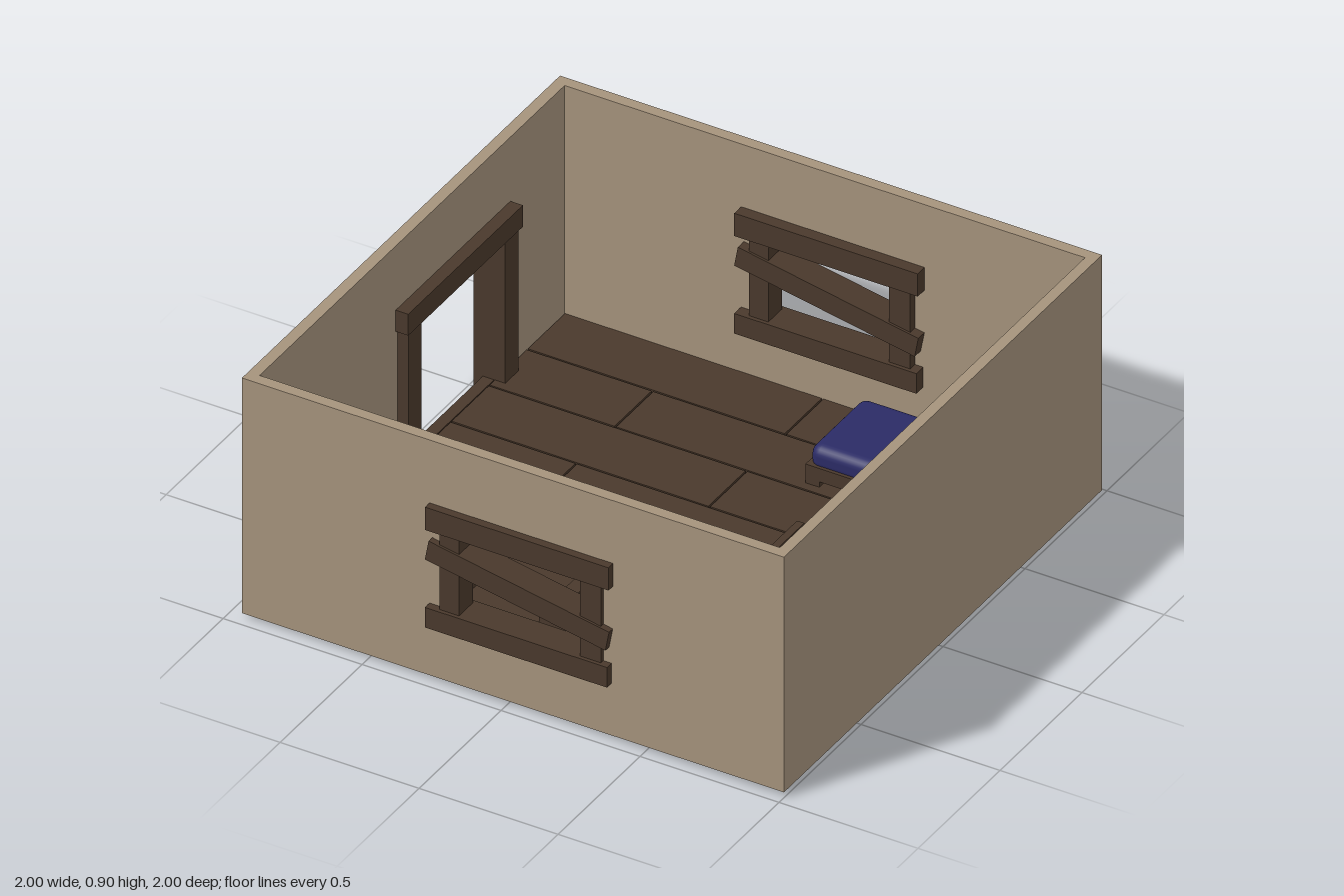
import * as THREE from 'three';
import { RoundedBoxGeometry } from 'three/addons/geometries/RoundedBoxGeometry.js';

const mat = (name, color) => {
  const m = new THREE.MeshStandardMaterial({ color });
  m.name = name;
  return m;
};

export function createModel() {
  const plaster = mat('plaster', 0xa5937c);
  const wood = mat('dark wood', 0x4a392c);
  const stone = mat('pale stone', 0xb4b4b4);
  const blue = mat('blue cloth', 0x2b2b66);
  const linen = mat('linen', 0xa8967d);

  const model = new THREE.Group();
  const group = (name, parent = model) => {
    const g = new THREE.Group();
    g.name = name;
    parent.add(g);
    return g;
  };
  const add = (parent, name, geo, material) => {
    const m = new THREE.Mesh(geo, material);
    m.name = name;
    parent.add(m);
    return m;
  };
  // Box given by its extents on each axis
  const box = (parent, name, x0, x1, y0, y1, z0, z1, material = wood) => {
    const m = add(parent, name, new THREE.BoxGeometry(x1 - x0, y1 - y0, z1 - z0), material);
    m.position.set((x0 + x1) / 2, (y0 + y1) / 2, (z0 + z1) / 2);
    return m;
  };
  const rect = (Type, x0, x1, y0, y1) => new Type([
    new THREE.Vector2(x0, y0), new THREE.Vector2(x1, y0),
    new THREE.Vector2(x1, y1), new THREE.Vector2(x0, y1)]);
  // Rectangular slab with one rectangular hole
  const pierced = (outer, hole, depth) => {
    const s = rect(THREE.Shape, ...outer);
    s.holes.push(rect(THREE.Path, ...hole));
    return new THREE.ExtrudeGeometry(s, { depth, bevelEnabled: false });
  };

  // Walls
  const walls = group('walls');
  const opening = [-0.2, 0.31, 0.26, 0.61];
  add(walls, 'frontWall', pierced([-0.95, 1, 0.02, 0.9], opening, 0.04), plaster).position.z = 0.93;
  add(walls, 'backWall', pierced([-0.95, 1, 0.02, 0.9], opening, 0.04), plaster).position.z = -0.97;
  box(walls, 'leftWall', 0.962, 1, 0.02, 0.9, -0.93, 0.93, plaster);
  box(walls, 'doorWallFront', -0.95, -0.91, 0.02, 0.9, 0.05, 0.93, plaster);
  box(walls, 'doorWallBack', -0.95, -0.91, 0.02, 0.9, -0.93, -0.54, plaster);
  box(walls, 'doorWallTop', -0.95, -0.91, 0.62, 0.9, -0.54, 0.05, plaster);

  // Floor: staggered planks over a thin underlay
  const floor = group('floor');
  box(floor, 'underlay', -0.945, 0.962, 0.025, 0.035, -0.93, 0.93);
  const rowDepth = 1.86 / 8;
  for (let r = 0; r < 8; r++) {
    const z = -0.93 + r * rowDepth;
    const cuts = r % 2 ? [-0.91, -0.455, 0.49, 0.962] : [-0.91, 0.02, 0.962];
    for (let i = 0; i < cuts.length - 1; i++)
      box(floor, 'plank', cuts[i] + 0.003, cuts[i + 1] - 0.003, 0.02, 0.05, z + 0.003, z + rowDepth - 0.003);
  }
  box(floor, 'threshold', -0.95, -0.91, 0.02, 0.05, -0.5, 0.01);

  // Window frames with a slanted board across
  for (const s of [1, -1]) {
    const w = group(s > 0 ? 'frontWindow' : 'backWindow');
    w.position.z = s * 0.943;
    box(w, 'topBoard', -0.275, 0.385, 0.58, 0.665, -0.055, 0.055);
    box(w, 'bottomBoard', -0.275, 0.38, 0.215, 0.29, -0.055, 0.055);
    box(w, 'post', -0.23, -0.16, 0.29, 0.58, -0.042, 0.042);
    box(w, 'post', 0.275, 0.35, 0.29, 0.58, -0.042, 0.042);
    const slat = box(w, 'slantedBoard', -0.33, 0.33, -0.037, 0.037, -0.05, 0.05);
    slat.position.set(0.053, 0.443, 0);
    slat.rotation.z = -0.18;
  }

  // Door frame
  const door = group('doorFrame');
  box(door, 'header', -1, -0.865, 0.58, 0.66, -0.6, 0.1);
  for (const z of [0.01, -0.58]) box(door, 'post', -0.985, -0.87, 0, 0.58, z, z + 0.08);

  // Bed
  const bed = group('bed');
  box(bed, 'frame', 0.21, 0.9, 0.07, 0.12, -0.85, -0.5);
  box(bed, 'headboard', 0.885, 0.91, 0.05, 0.26, -0.85, -0.5);
  for (const x of [0.21, 0.84]) for (const z of [-0.85, -0.55])
    box(bed, 'leg', x, x + 0.05, 0.05, 0.08, z, z + 0.05);
  const blanket = add(bed, 'blanket', new RoundedBoxGeometry(0.67, 0.09, 0.33, 3, 0.035), blue);
  blanket.position.set(0.55, 0.14, -0.675);
  const pillow = add(bed, 'pillow', new RoundedBoxGeometry(0.14, 0.06, 0.26, 3, 0.028), linen);
  pillow.position.set(0.8, 0.2, -0.68);

  // Slatted furniture: top boards, apron and four legs
  const slatted = (name, x0, x1, z0, z1, top, count, leg) => {
    const g = group(name);
    const step = (x1 - x0) / count;
    for (let i = 0; i < count; i++)
      box(g, 'slat', x0 + i * step + 0.002, x0 + (i + 1) * step - 0.002, top - 0.025, top, z0, z1);
    box(g, 'apron', x0 + 0.015, x1 - 0.015, top - 0.045, top - 0.02, z0 + 0.015, z1 - 0.015);
    for (const x of [x0 + 0.015, x1 - 0.015 - leg]) for (const z of [z0 + 0.015, z1 - 0.015 - leg])
      box(g, 'leg', x, x + leg, 0.05, top - 0.03, z, z + leg);
    return g;
  };
  const table = slatted('table', 0.58, 0.88, -0.29, 0.2, 0.33, 4, 0.035);
  slatted('stool', 0.405, 0.555, -0.115, 0.045, 0.2, 5, 0.025);
  box(table, 'board', 0.65, 0.695, 0.33, 0.34, -0.09, 0.035);
  const knife = box(table, 'knife', 0.655, 0.665, 0.34, 0.348, -0.07, 0.03);
  knife.rotation.y = 0.5;

  // Storage chest with a recessed lid and thicker end bands
  const chest = group('chest');
  box(chest, 'body', 0, 0.4, 0.05, 0.175, 0.52, 0.73);
  const lid = add(chest, 'lidRim', pierced([-0.02, 0.42, -0.735, -0.515], [0.03, 0.37, -0.7, -0.55], 0.035), wood);
  lid.rotation.x = -Math.PI / 2;
  lid.position.y = 0.17;
  for (const x of [-0.022, 0.367]) box(chest, 'endBand', x, x + 0.055, 0.05, 0.17, 0.508, 0.742);

  // Stove: wooden hearth with a pale lip, stone body, corner posts, hollow flue
  const stove = group('stove');
  box(stove, 'hearth', -0.8, -0.38, 0.05, 0.31, 0.355, 0.6);
  const lip = new THREE.Shape([[-0.805, 0.35], [-0.375, 0.35], [-0.415, 0.385], [-0.765, 0.385]]
    .map(([x, z]) => new THREE.Vector2(x, -z)).reverse());
  const lipMesh = add(stove, 'hearthLip', new THREE.ExtrudeGeometry(lip, { depth: 0.035, bevelEnabled: false }), stone);
  lipMesh.rotation.x = -Math.PI / 2;
  lipMesh.position.y = 0.305;
  box(stove, 'body', -0.8, -0.38, 0.05, 0.39, 0.6, 0.88, stone);
  for (const x of [-0.82, -0.425]) for (const z of [0.59, 0.83])
    box(stove, 'cornerPost', x, x + 0.068, 0.05, 0.4, z, z + 0.068);
  box(stove, 'flueBase', -0.71, -0.47, 0.39, 0.6, 0.715, 0.88, stone);
  const flue = add(stove, 'flueRim', pierced([-0.71, -0.47, -0.88, -0.715], [-0.673, -0.507, -0.857, -0.738], 0.06), stone);
  flue.rotation.x = -Math.PI / 2;
  flue.position.y = 0.595;
  for (const x of [-0.73, -0.518]) for (const z of [0.695, 0.835])
    box(stove, 'fluePost', x, x + 0.068, 0.39, 0.55, z, z + 0.06);

  return model;
}
